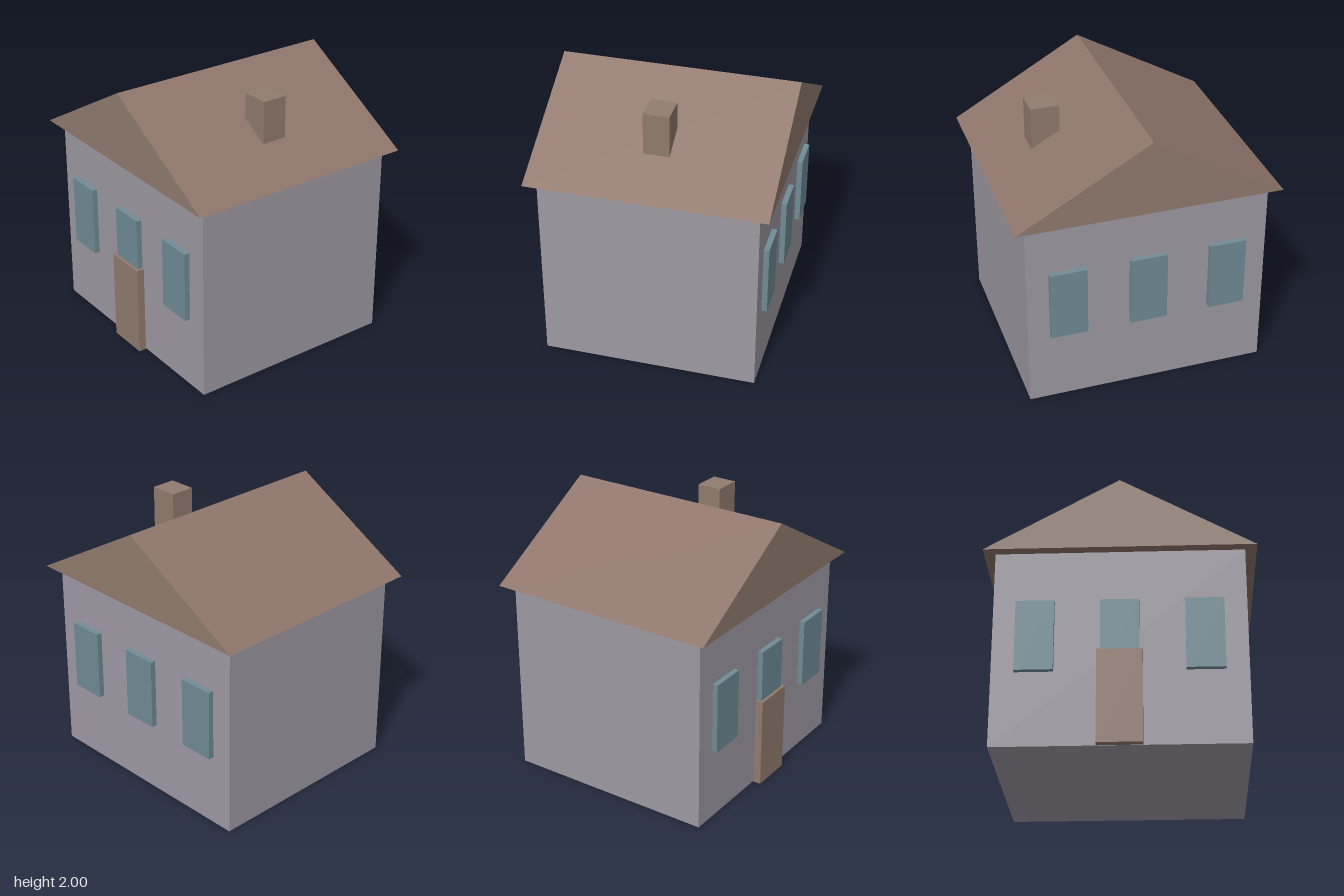
import * as THREE from 'three';

const mat = (name, color) => {
  const m = new THREE.MeshStandardMaterial({ color });
  m.name = name;
  return m;
};

export function createModel() {
  const wall = mat('wall grey', 0x9e99a3);
  const roofBrown = mat('roof brown', 0x8f756b);
  const woodBrown = mat('wood brown', 0x917b6e);
  const glass = mat('window blue', 0x708b96);

  const house = new THREE.Group();
  house.name = 'house';

  // box from its minimum and maximum corners
  const box = (name, material, min, max) => {
    const size = max.map((v, i) => v - min[i]);
    const mesh = new THREE.Mesh(new THREE.BoxGeometry(...size), material);
    mesh.position.set(...max.map((v, i) => (v + min[i]) / 2));
    mesh.name = name;
    house.add(mesh);
  };

  box('walls', wall, [-0.878, 0, -0.785], [0.878, 1.455, 0.785]);
  box('door', woodBrown, [-0.157, 0, 0.79], [0.157, 0.677, 0.847]);
  box('chimney', woodBrown, [0.42, 1.6, -0.093], [0.628, 1.955, 0.093]);

  // three windows on the front and three on the back
  for (const side of [1, -1]) {
    for (const x of [-0.585, 0, 0.585]) {
      const z = side * 0.805;
      box(side > 0 ? 'frontWindow' : 'backWindow', glass,
        [x - 0.134, 0.54, z - 0.02], [x + 0.134, 1.063, z + 0.02]);
    }
  }

  // gable roof: triangular prism along z
  const gable = new THREE.Shape([
    new THREE.Vector2(-0.96, 1.455),
    new THREE.Vector2(0.96, 1.455),
    new THREE.Vector2(0, 2),
  ]);
  const roofGeometry = new THREE.ExtrudeGeometry(gable, { depth: 1.724, bevelEnabled: false });
  roofGeometry.translate(0, 0, -0.862);
  const roof = new THREE.Mesh(roofGeometry, [woodBrown, roofBrown]);
  roof.name = 'roof';
  house.add(roof);

  return house;
}
